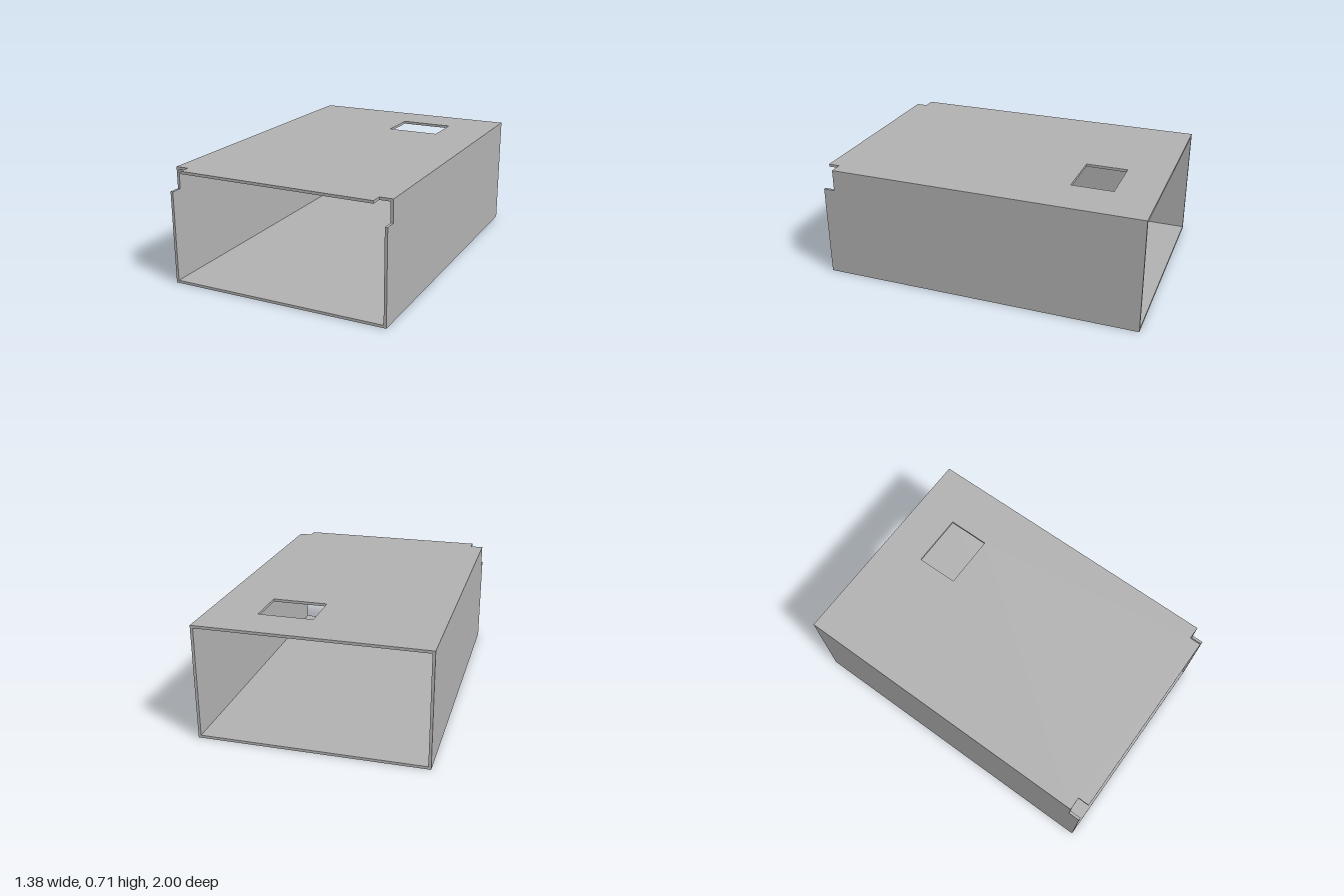
import * as THREE from 'three';

const W = 0.688, H = 0.706, D = 1, T = 0.0165; // half width, height, half depth, wall
const NOTCH_Z = 0.93, NOTCH_X = 0.607, NOTCH_Y = 0.573;

const shapeOf = (pts) => new THREE.Shape(pts.map(([x, y]) => new THREE.Vector2(x, y)));
const extrude = (shape) => new THREE.ExtrudeGeometry(shape, { depth: T, bevelEnabled: false });

export function createModel() {
  const group = new THREE.Group();
  const grey = new THREE.MeshStandardMaterial({ color: 0xb2b2b2 });
  grey.name = 'plain grey';

  const add = (name, geometry) => {
    const mesh = new THREE.Mesh(geometry, grey);
    mesh.name = name;
    group.add(mesh);
  };

  // Bottom panel
  add('bottomPanel', new THREE.BoxGeometry(2 * W, T, 2 * D).translate(0, T / 2, 0));

  // Top panel, drawn in x and -z: notched front corners and a rectangular window
  const top = shapeOf([
    [-W, D], [-W, -NOTCH_Z], [-NOTCH_X, -NOTCH_Z], [-NOTCH_X, -D],
    [NOTCH_X, -D], [NOTCH_X, -NOTCH_Z], [W, -NOTCH_Z], [W, D],
  ]);
  top.holes.push(shapeOf([[0.054, 0.74], [0.386, 0.74], [0.386, 0.481], [0.054, 0.481]]));
  add('topPanel', extrude(top).rotateX(-Math.PI / 2).translate(0, H - T, 0));

  // Side panels, drawn in z and y: notched upper front corner
  const side = shapeOf([
    [-D, T], [D, T], [D, NOTCH_Y], [NOTCH_Z, NOTCH_Y], [NOTCH_Z, H - T], [-D, H - T],
  ]);
  for (const [name, x] of [['leftPanel', W], ['rightPanel', -W + T]]) {
    add(name, extrude(side).rotateY(-Math.PI / 2).translate(x, 0, 0));
  }

  return group;
}
